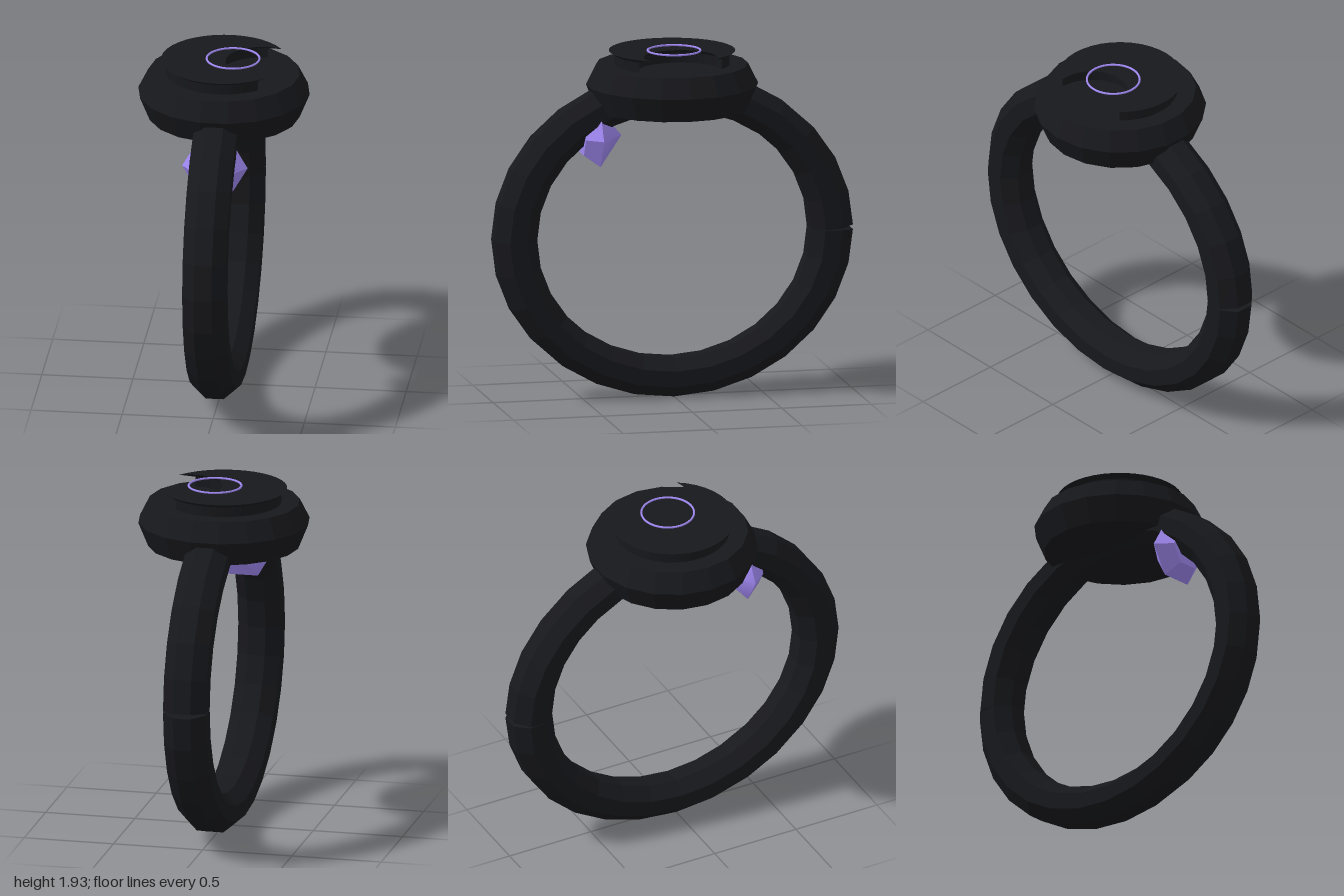
import * as THREE from 'three';

const black = new THREE.MeshStandardMaterial({ color: 0x17181c, flatShading: true });
const purple = new THREE.MeshStandardMaterial({ color: 0x9f87f0 });
const purpleFacets = new THREE.MeshStandardMaterial({ color: 0x9f87f0, flatShading: true });

// Skin between equal-length closed cross-sections; convex ends can be capped
function loft(rings, capped) {
  const n = rings[0].length, index = [];
  for (let s = 0; s < rings.length - 1; s++) {
    for (let i = 0; i < n; i++) {
      const j = (i + 1) % n, a = s * n + i, b = s * n + j;
      index.push(a, b, b + n, a, b + n, a + n);
    }
  }
  if (capped) {
    const last = (rings.length - 1) * n;
    for (let i = 1; i < n - 1; i++) index.push(0, i + 1, i, last, last + i, last + i + 1);
  }
  const g = new THREE.BufferGeometry();
  g.setAttribute('position', new THREE.Float32BufferAttribute(rings.flat(2), 3));
  g.setIndex(index);
  g.computeVertexNormals();
  return g;
}

// Octagonal band on an upright oval, open at the back with a wedge-shaped crack
function bandGeometry() {
  const steps = 28, rings = [];
  for (let s = 0; s <= steps; s++) {
    const t = (s / steps) * Math.PI * 2, ring = [];
    const end = s === 0 ? 1 : s === steps ? -1 : 0;
    for (let k = 0; k < 8; k++) {
      const a = ((k + 0.5) * Math.PI) / 4;
      const r = 0.882 + 0.1277 * Math.sin(a);
      const gap = end * 0.13 * Math.max(0, r - 0.9);
      ring.push([0.129 * Math.cos(a), 0.904 + 0.9 * r * Math.sin(t) + gap, -r * Math.cos(t)]);
    }
    rings.push(ring);
  }
  return loft(rings, true);
}

// Crescent outline: circle of radius R with a round bite of radius r at x = c
function crescent(R, r) {
  const c = 0.21, x = (R * R - r * r + c * c) / (2 * c), y = Math.sqrt(R * R - x * x);
  const a = Math.atan2(y, x), b = Math.atan2(y, x - c), pts = [];
  const nOut = 32, nIn = 24;
  for (let i = 0; i <= nOut; i++) {
    const t = a + (i / nOut) * 2 * (Math.PI - a);
    pts.push(new THREE.Vector2(R * Math.cos(t), R * Math.sin(t)));
  }
  for (let i = 1; i < nIn; i++) {
    const t = -b - (i / nIn) * 2 * (Math.PI - b);
    pts.push(new THREE.Vector2(c + r * Math.cos(t), r * Math.sin(t)));
  }
  return pts;
}

export function createModel() {
  const model = new THREE.Group();
  const add = (parent, name, geometry, material, x = 0, y = 0, z = 0) => {
    const mesh = new THREE.Mesh(geometry, material);
    mesh.name = name;
    mesh.position.set(x, y, z);
    parent.add(mesh);
    return mesh;
  };

  add(model, 'band', bandGeometry(), black);

  // Eighteen-sided head with a ridge around its middle
  const profile = [[0, 1.6], [0.415, 1.6], [0.47, 1.735], [0.415, 1.845], [0, 1.845]]
    .map(([r, y]) => new THREE.Vector2(r, y));
  add(model, 'head', new THREE.LatheGeometry(profile, 18, Math.PI / 2), black);

  // Crescent plate: inset neck flaring to a thin rim
  const emblem = new THREE.Group();
  emblem.name = 'crescent';
  const neck = crescent(0.315, 0.23), rim = crescent(0.345, 0.2);
  const level = (pts, y) => pts.map((p) => [p.x, y, -p.y]);
  add(emblem, 'crescentSide', loft([level(neck, 1.84), level(neck, 1.9), level(rim, 1.92)]), black);
  const top = new THREE.ShapeGeometry(new THREE.Shape(rim)).rotateX(-Math.PI / 2);
  add(emblem, 'crescentTop', top, black, 0, 1.92);
  model.add(emblem);

  // Thin coloured hoop lying on the crescent
  const hoop = new THREE.TorusGeometry(0.144, 0.006, 8, 48).rotateX(Math.PI / 2);
  add(model, 'hoop', hoop, purple, 0.05, 1.928, 0);

  // Six-sided cut gem under the head, its point facing back
  const gem = new THREE.Group();
  gem.name = 'gem';
  gem.position.set(0, 1.46, 0.42);
  const crown = new THREE.CylinderGeometry(0.11, 0.18, 0.085, 6).rotateY(Math.PI / 2).rotateX(Math.PI / 2);
  add(gem, 'gemCrown', crown, purpleFacets, 0, 0, 0.0425);
  const point = new THREE.ConeGeometry(0.18, 0.137, 6, 1, true).rotateY(Math.PI / 2).rotateX(-Math.PI / 2);
  add(gem, 'gemPoint', point, purple, 0, 0, -0.0685);
  model.add(gem);

  return model;
}
